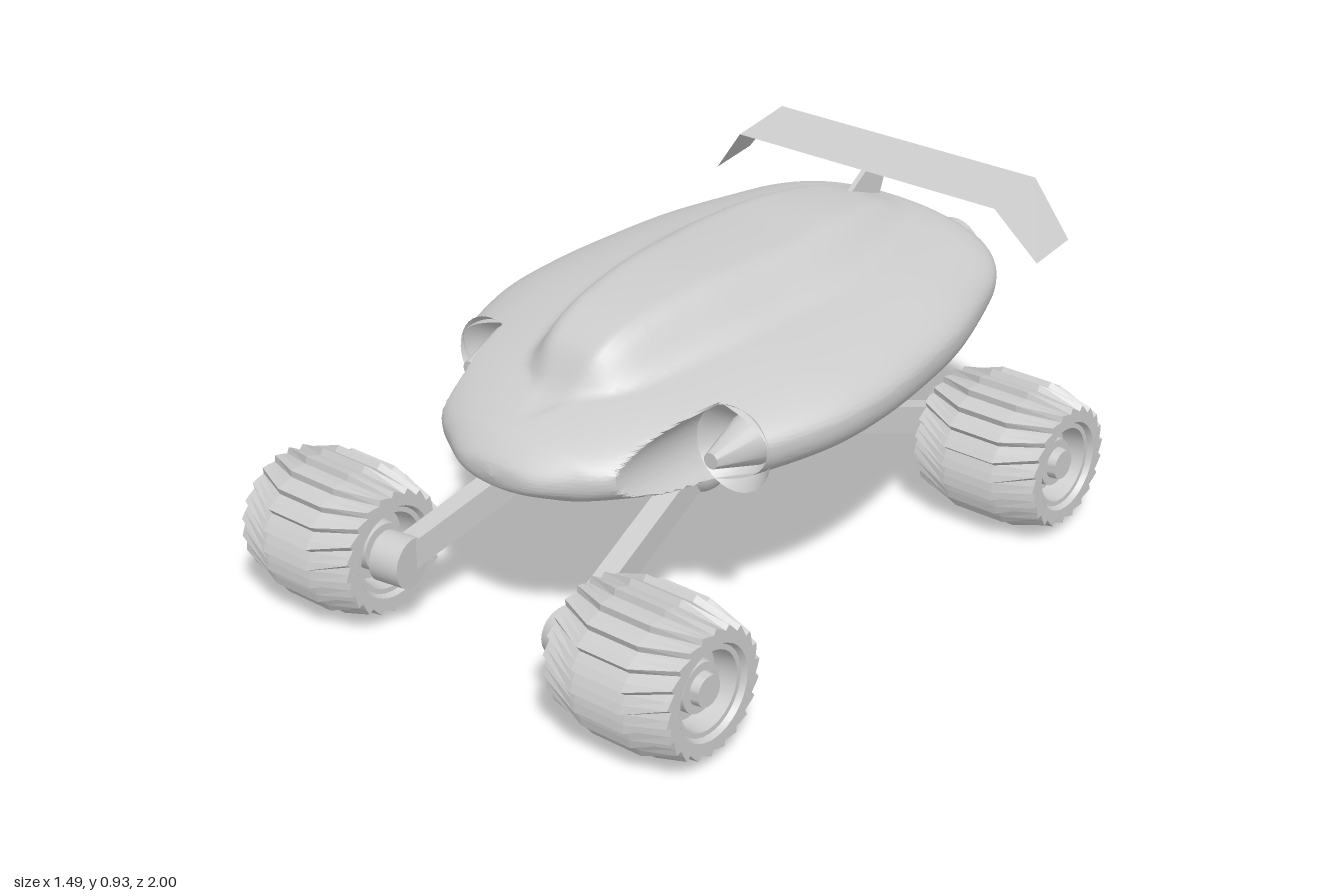
import * as THREE from 'three';
import { toCreasedNormals } from 'three/addons/utils/BufferGeometryUtils.js';

const smooth = new THREE.MeshStandardMaterial({ color: 0xcccccc, side: THREE.DoubleSide });
const flat = new THREE.MeshStandardMaterial({ color: 0xcccccc, side: THREE.DoubleSide, flatShading: true });
const MID = 0.0125; // z about which the running gear is mirrored
const INTAKE = { x: 0.42, y: 0.585, z: 0.32, r: 0.12 };

function add(parent, name, geometry, material = smooth, x = 0, y = 0, z = 0) {
  const mesh = new THREE.Mesh(geometry, material);
  mesh.name = name;
  mesh.position.set(x, y, z);
  parent.add(mesh);
  return mesh;
}

// Skin a list of closed rings, each a list of [x, y, z]
function loft(rings) {
  const n = rings[0].length, index = [];
  for (let i = 0; i < rings.length - 1; i++) {
    for (let j = 0; j < n; j++) {
      const a = i * n + j, b = i * n + (j + 1) % n;
      index.push(a, a + n, b, b, a + n, b + n);
    }
  }
  const g = new THREE.BufferGeometry();
  g.setAttribute('position', new THREE.Float32BufferAttribute(rings.flat(2), 3));
  g.setIndex(index);
  g.computeVertexNormals();
  return g;
}

// Turned part from [radius, height] points
function turned(points, segments = 32) {
  const g = new THREE.LatheGeometry(points.map(p => new THREE.Vector2(...p)), segments);
  return toCreasedNormals(g, 0.6);
}

// Hull stations: z, half width, bottom, widest height, deck, roof, cabin half width
const stations = [
  [0.77, 0.001, 0.545, 0.55, 0.555, 0.555, 0.01],
  [0.755, 0.12, 0.51, 0.55, 0.59, 0.59, 0.01],
  [0.70, 0.22, 0.485, 0.56, 0.635, 0.635, 0.01],
  [0.65, 0.29, 0.472, 0.57, 0.655, 0.655, 0.01],
  [0.54, 0.39, 0.455, 0.59, 0.69, 0.69, 0.07],
  [0.45, 0.46, 0.447, 0.605, 0.715, 0.80, 0.16],
  [0.32, 0.53, 0.443, 0.615, 0.74, 0.855, 0.21],
  [0.1, 0.60, 0.44, 0.63, 0.775, 0.885, 0.26],
  [-0.1, 0.61, 0.44, 0.64, 0.795, 0.89, 0.285],
  [-0.3, 0.59, 0.445, 0.65, 0.81, 0.89, 0.30],
  [-0.5, 0.555, 0.46, 0.66, 0.82, 0.89, 0.26],
  [-0.7, 0.49, 0.495, 0.67, 0.82, 0.865, 0.20],
  [-0.82, 0.44, 0.535, 0.68, 0.815, 0.825, 0.15],
  [-0.9, 0.37, 0.575, 0.69, 0.80, 0.80, 0.12],
  [-0.935, 0.29, 0.61, 0.69, 0.765, 0.765, 0.1],
  [-0.94, 0.001, 0.688, 0.69, 0.692, 0.692, 0.1],
];
const SPLIT = 6, STEPS = 6; // the intakes open at station SPLIT

// Pull a hull point back to the wall of the intake trough
function scoop(x, y) {
  const dx = x, dy = y - INTAKE.y, len = Math.hypot(dx, dy);
  const along = Math.abs(dx) / len * INTAKE.x;
  const disc = INTAKE.r ** 2 - (INTAKE.x ** 2 - along ** 2);
  if (disc <= 0) return [x, y];
  const k = Math.min(1, (along - Math.sqrt(disc)) / len);
  return [x * k, INTAKE.y + dy * k];
}

function hullRings(from, to, cut) {
  const curve = cols => new THREE.CatmullRomCurve3(
    stations.map(s => new THREE.Vector3(...cols.map(c => s[c]))), false, 'catmullrom', 0.5);
  const a = curve([0, 1, 2]), b = curve([3, 4, 5]), c = curve([6, 6, 6]);
  const rings = [], n = 160;
  for (let i = from * STEPS; i <= to * STEPS; i++) {
    const t = i / ((stations.length - 1) * STEPS);
    const { x: z, y: w, z: bottom } = a.getPoint(t);
    const { x: mid, y: deck, z: roof } = b.getPoint(t);
    const cabin = Math.max(0.01, c.getPoint(t).x);
    const ring = [];
    for (let j = 0; j < n; j++) {
      const ang = j / n * Math.PI * 2, s = Math.sin(ang);
      let x = w * Math.cos(ang), y;
      if (s >= 0) {
        const rise = 1 - THREE.MathUtils.smoothstep(Math.abs(x) / cabin, 0.45, 1.05);
        y = mid + (deck - mid) * s + (roof - deck) * rise;
      } else y = mid - (mid - bottom) * (-s) ** 0.8;
      if (cut) [x, y] = scoop(x, y);
      ring.push([x, y, z]);
    }
    rings.push(ring);
  }
  return rings;
}

// Barrel tyre with chevron saw-tooth treads: rows of x, radius, tooth depth, sweep
function tyreGeometry() {
  const teeth = 22, step = Math.PI * 2 / teeth;
  const rows = [
    [0.2, 0.13, 0, 0], [0.2, 0.177, 0.016, 0], [0.08, 0.21, 0.018, 0.8],
    [-0.08, 0.21, 0.018, 0.8], [-0.2, 0.177, 0.016, 0], [-0.2, 0.13, 0, 0],
  ];
  return loft(rows.map(([x, r, depth, sweep]) => {
    const ring = [];
    for (let k = 0; k < teeth; k++) {
      for (const [f, d] of [[0, depth], [0.45, depth * 0.5], [0.85, 0]]) {
        const ang = (k + f + sweep) * step;
        ring.push([x, (r - d) * Math.cos(ang), (r - d) * Math.sin(ang)]);
      }
    }
    return ring;
  }));
}

export function createModel() {
  const model = new THREE.Group();

  // Hull with raised cabin
  const body = new THREE.Group();
  body.name = 'body';
  model.add(body);
  add(body, 'nose', toCreasedNormals(loft(hullRings(0, SPLIT, true)), 0.6));
  add(body, 'hull', toCreasedNormals(loft(hullRings(SPLIT, stations.length - 1, false)), 0.9));

  // Air intakes and exhaust pipes
  const funnel = turned([[0.07, -0.07], [0.12, 0]], 40).rotateX(Math.PI / 2);
  const spike = turned([[0.07, -0.07], [0.022, 0.09], [0, 0.09]]).rotateX(Math.PI / 2);
  const pipe = turned([[0.105, 0.22], [0.086, 0], [0.066, 0], [0.06, 0.15], [0, 0.15]]).rotateX(Math.PI / 2);
  for (const s of [1, -1]) {
    add(body, 'intake', funnel, smooth, s * INTAKE.x, INTAKE.y, INTAKE.z);
    add(body, 'intakeSpike', spike, smooth, s * INTAKE.x, INTAKE.y, INTAKE.z);
    add(body, 'exhaustPipe', pipe, smooth, s * 0.175, 0.65, -1);
  }

  // Rear wing: folded thin sheet on a fin
  const wing = new THREE.BufferGeometry();
  wing.setAttribute('position', new THREE.Float32BufferAttribute([
    -0.57, 0.761, -0.82, -0.57, 0.783, -0.976,
    -0.45, 0.906, -0.777, -0.45, 0.938, -0.976,
    0.45, 0.906, -0.777, 0.45, 0.938, -0.976,
    0.57, 0.761, -0.82, 0.57, 0.783, -0.976,
  ], 3));
  wing.setIndex([0, 2, 1, 1, 2, 3, 2, 4, 3, 3, 4, 5, 4, 6, 5, 5, 6, 7]);
  wing.computeVertexNormals();
  add(model, 'rearWing', wing, flat);
  const finShape = new THREE.Shape([[0.70, 0.85], [0.78, 0.905], [0.89, 0.922], [0.84, 0.79]]
    .map(p => new THREE.Vector2(...p)));
  const fin = new THREE.ExtrudeGeometry(finShape, { depth: 0.016, bevelEnabled: false });
  add(model, 'wingFin', fin.rotateY(Math.PI / 2).translate(-0.008, 0, 0), flat);

  // Chassis block under the hull
  add(model, 'chassisBlock', new THREE.BoxGeometry(0.36, 0.09, 0.36), flat, 0, 0.43, MID);

  // Suspension corners
  const tyre = tyreGeometry();
  const half = [[0.13, 0.2], [0.122, 0.185], [0.108, 0.185], [0.1, 0.12], [0.072, 0.12],
    [0.068, 0.16], [0.045, 0.16], [0.042, 0.185], [0, 0.185]];
  const rim = turned(half).rotateZ(-Math.PI / 2);
  const ball = new THREE.SphereGeometry(0.077, 24, 16);
  const hub = toCreasedNormals(new THREE.CylinderGeometry(0.07, 0.07, 0.09, 24), 0.6).rotateZ(Math.PI / 2);
  const axle = new THREE.CylinderGeometry(0.04, 0.04, 0.2, 16).rotateZ(Math.PI / 2);
  for (const sx of [1, -1]) {
    for (const sz of [1, -1]) {
      const corner = new THREE.Group();
      corner.name = (sz > 0 ? 'front' : 'rear') + (sx > 0 ? 'Left' : 'Right') + 'Suspension';
      model.add(corner);
      add(corner, 'ballJoint', ball, smooth, sx * 0.2, 0.42, MID + sz * 0.177);

      const start = new THREE.Vector3(sx * 0.2, 0.42, MID + sz * 0.177);
      const end = new THREE.Vector3(sx * 0.3, 0.225, MID + sz * 0.78);
      const arm = add(corner, 'arm', new THREE.BoxGeometry(0.06, 0.08, start.distanceTo(end)), flat);
      arm.position.copy(start).lerp(end, 0.5);
      arm.lookAt(end);

      const knuckle = add(corner, 'knuckle', hub, smooth, sx * 0.31, 0.212, MID + sz * 0.797);
      knuckle.rotation.y = -sx * sz * 0.15;
      add(corner, 'axle', axle, smooth, sx * 0.4, 0.212, MID + sz * 0.777);

      const wheel = new THREE.Group();
      wheel.name = 'wheel';
      wheel.position.set(sx * 0.545, 0.212, MID + sz * 0.777);
      corner.add(wheel);
      add(wheel, 'tyre', tyre, flat);
      add(wheel, 'outerRim', rim);
      add(wheel, 'innerRim', rim).rotation.y = Math.PI;
    }
  }
  return model;
}
